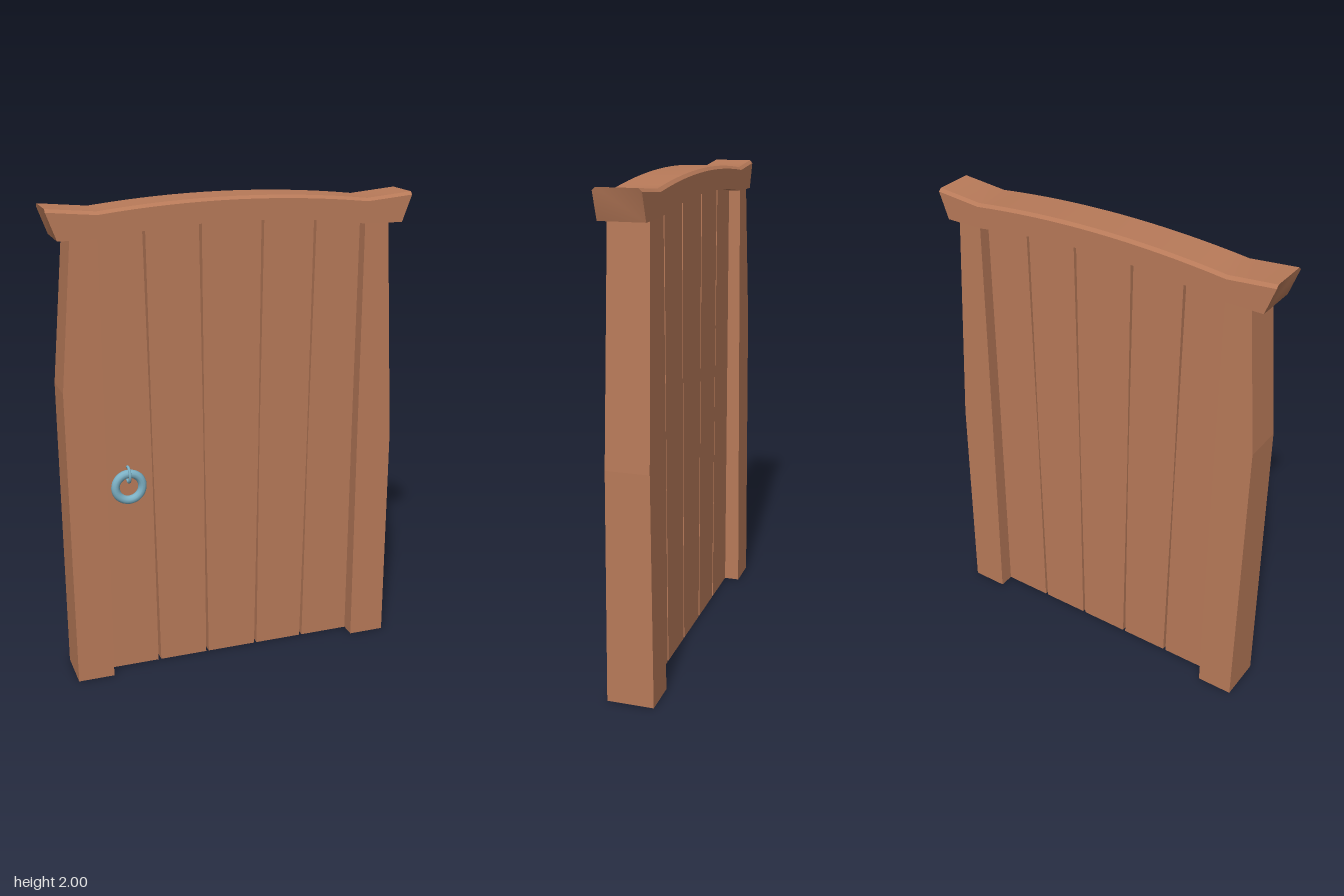
import * as THREE from 'three';
import { toCreasedNormals } from 'three/addons/utils/BufferGeometryUtils.js';

const wood = new THREE.MeshStandardMaterial({ color: 0xb87a59 });
wood.name = 'wood';
const metal = new THREE.MeshStandardMaterial({ color: 0x7db2c6 });
metal.name = 'blueMetal';

// Solid skin over convex rings, each ordered counter-clockwise seen from the far end
function loft(rings, crease = 0.3) {
  const n = rings[0].length;
  const index = [];
  for (let r = 0; r < rings.length - 1; r++) {
    for (let i = 0; i < n; i++) {
      const a = r * n + i, b = r * n + (i + 1) % n;
      index.push(a, b, b + n, a, b + n, a + n);
    }
  }
  const last = (rings.length - 1) * n;
  for (let i = 1; i < n - 1; i++) {
    index.push(0, i + 1, i, last, last + i, last + i + 1);
  }
  const geo = new THREE.BufferGeometry();
  geo.setAttribute('position', new THREE.Float32BufferAttribute(rings.flat(2), 3));
  geo.setIndex(index);
  return toCreasedNormals(geo.toNonIndexed(), crease);
}

// Rectangular level of an upright timber; yL and yR let the end slope
const level = (x0, x1, hz, yL, yR = yL) => [
  [x1, yR, hz], [x1, yR, -hz], [x0, yL, -hz], [x0, yL, hz],
];

// Arched underside and top of the lintel
const underside = (x) => 1.865 + 0.04 * Math.max(0, 1 - (x / 0.555) ** 2);
const topside = (x) => Math.abs(x) < 0.555
  ? 1.967 + 0.033 * (1 - (x / 0.555) ** 2)
  : 1.967 + 0.018 * ((Math.abs(x) - 0.555) / 0.195);

export function createModel() {
  const group = new THREE.Group();
  const add = (name, geometry, material) => {
    const mesh = new THREE.Mesh(geometry, material);
    mesh.name = name;
    group.add(mesh);
    return mesh;
  };

  // Bowed posts, thicker at the foot
  add('rightPost', loft([
    level(-0.708, -0.555, 0.096, 0),
    level(-0.714, -0.555, 0.085, 1.27),
    level(-0.658, -0.555, 0.08, 1.9),
  ], 0.02), wood);
  add('leftPost', loft([
    level(0.55, 0.705, 0.096, 0),
    level(0.55, 0.705, 0.088, 0.95),
    level(0.553, 0.655, 0.08, 1.9),
  ], 0.02), wood);

  // Recessed planks with narrow seams that open at both ends
  const foot = [-0.565, -0.334, -0.115, 0.111, 0.33, 0.565];
  const head = [-0.565, -0.361, -0.132, 0.129, 0.355, 0.565];
  for (let i = 0; i < 5; i++) {
    const rings = [0, 0.25, 0.5, 0.75, 1].map((t) => {
      const gap = 0.0025 + 0.0035 * Math.abs(2 * t - 1);
      const x0 = THREE.MathUtils.lerp(foot[i], head[i], t) + gap;
      const x1 = THREE.MathUtils.lerp(foot[i + 1], head[i + 1], t) - gap;
      return level(x0, x1, 0.03, t * (underside(x0) + 0.01), t * (underside(x1) + 0.01));
    });
    add('plank' + (i + 1), loft(rings), wood);
  }

  // Curved lintel with softened top edges and flared tips
  const back = -0.085, front = 0.097, c = 0.012;
  const columns = [[-0.71, -0.75], [-0.66, -0.69]];
  for (let i = 0; i <= 16; i++) {
    const x = -0.555 + 1.11 * i / 16;
    columns.push([x, x]);
  }
  columns.push([0.66, 0.69], [0.71, 0.75]);
  add('lintel', loft(columns.map(([xb, xt]) => {
    const b = underside(xb), t = topside(xt);
    return [
      [xb, b, back], [xt, t - c, back], [xt, t, back + c],
      [xt, t, front - c], [xt, t - c, front], [xb, b, front],
    ];
  }), 0.6), wood);

  // Pull ring hanging from a small staple
  add('handleRing', new THREE.TorusGeometry(0.057, 0.018, 10, 32), metal)
    .position.set(-0.455, 0.838, 0.052);
  const staple = add('handleStaple', new THREE.TorusGeometry(0.032, 0.006, 8, 20), metal);
  staple.rotation.y = Math.PI / 2;
  staple.position.set(-0.455, 0.89, 0.046);

  return group;
}
